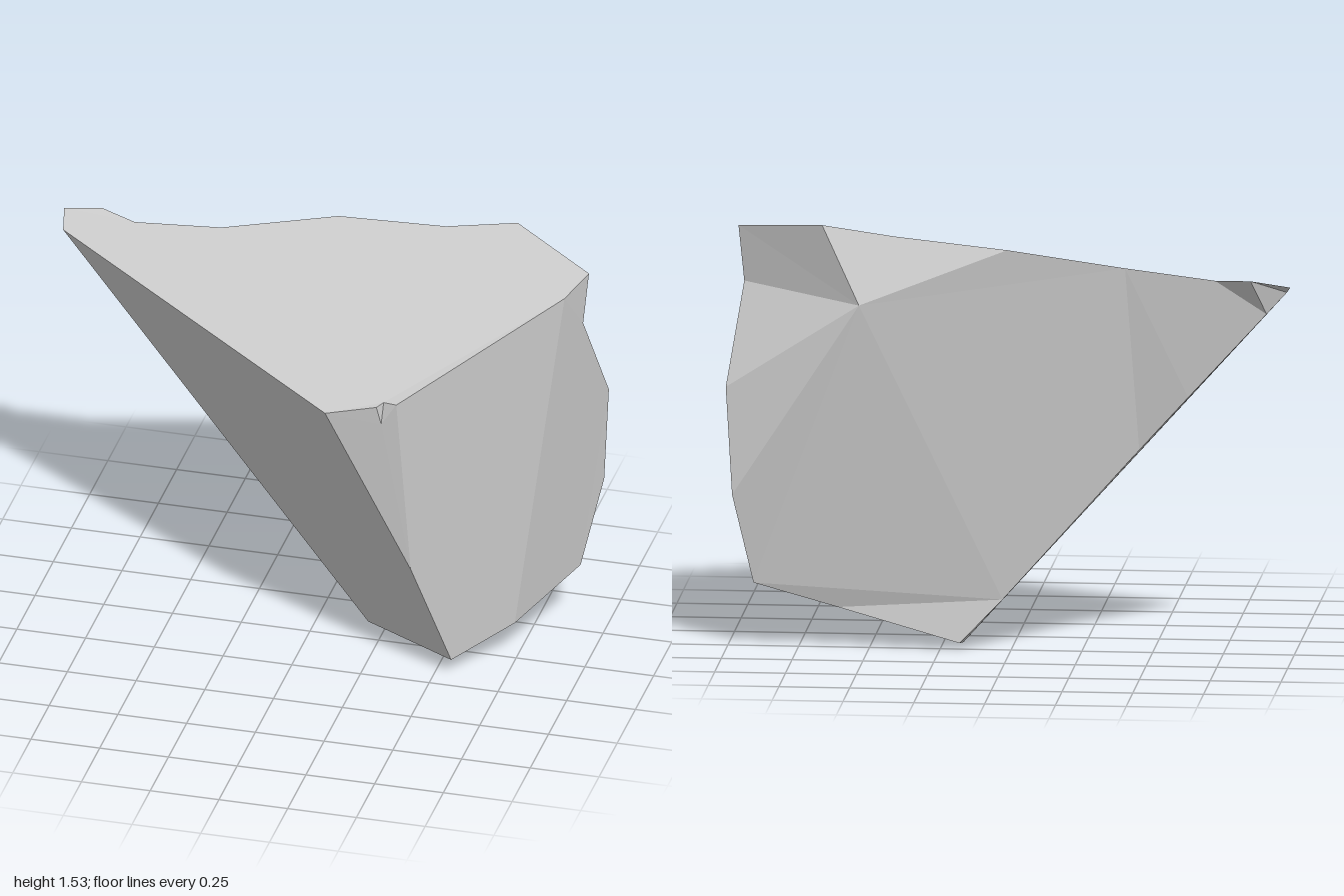
import * as THREE from 'three';

// Corner points of the broken rock, grouped by region
const P = {
  // top rim, front to back, counter-clockwise
  F: [0.17, 1.14, 0.435], N1: [0.35, 1.176, 0.41], N2: [0.37, 1.185, 0.385], G: [0.42, 1.19, 0.4],
  R1: [0.91, 1.44, -0.06], R: [0.97, 1.49, -0.17], T: [0.655, 1.535, -0.38], U: [0.4, 1.495, -0.36],
  M: [0, 1.46, -0.395], V: [-0.41, 1.39, -0.33], W: [-0.73, 1.355, -0.35], X: [-0.86, 1.365, -0.4],
  A: [-1, 1.345, -0.4], A2: [-0.98, 1.31, -0.31],
  // front ridge and chip
  H: [0.45, 0.485, 0.315], N3: [0.365, 1.105, 0.4],
  // underside
  B: [0.18, 0, -0.12], C: [0.56, 0.06, 0.175], D: [0.745, 0.14, 0],
  S4: [0.905, 0.235, -0.3], E: [0.61, 0.145, -0.26], B2: [0.18, 0.025, -0.27],
  // left rear rim and back hub
  S1: [0.95, 1.29, -0.165], S2: [1, 0.94, -0.33], S3: [0.975, 0.56, -0.36], K: [0.52, 1.26, -0.435],
  // slanted rear rim
  Q4: [-0.91, 1.235, -0.33], Q3: [-0.63, 0.925, -0.3], Q1: [-0.453, 0.725, -0.253],
  Q2: [-0.224, 0.47, -0.253], P: [0.03, 0.18, -0.25],
};

// Facets, each counter-clockwise from outside
const facets = {
  topFace: ['F N1 N2 G R1 R T U M V W X A A2'],
  slantedFace: ['A2 B C H F', 'A2 Q4 Q3 Q1 Q2 P B2 B'],
  frontFace: ['F H G N3 N1', 'G H C D R1'],
  chip: ['N1 N3 N2', 'N2 N3 G'],
  sideFace: ['R1 D S4 S3 S2 S1 R'],
  backFace: ['R S1 K T', 'S1 S2 K', 'S2 S3 K', 'K S3 S4 E P Q2', 'E B2 P', 'K Q2 Q1 V M',
    'K M U', 'K U T', 'V Q1 Q3 W', 'W Q3 Q4 X', 'X Q4 A2 A'],
  underside: ['C B B2 E S4 D'],
};

// Triangulate one polygon in the plane of its average normal
function triangulate(names) {
  const pts = names.split(' ').map((n) => new THREE.Vector3(...P[n]));
  const normal = new THREE.Vector3();
  pts.forEach((p, i) => normal.add(p.clone().cross(pts[(i + 1) % pts.length])));
  normal.normalize();
  const u = pts[1].clone().sub(pts[0]);
  u.addScaledVector(normal, -u.dot(normal)).normalize();
  const v = normal.clone().cross(u);
  const flat = pts.map((p) => new THREE.Vector2(p.dot(u), p.dot(v)));
  return THREE.ShapeUtils.triangulateShape(flat, []).flat().map((i) => pts[i]);
}

export function createModel() {
  const rock = new THREE.Group();
  rock.name = 'rockShard';
  const material = new THREE.MeshStandardMaterial({ color: 0xcccccc, flatShading: true });
  for (const [name, polygons] of Object.entries(facets)) {
    const geometry = new THREE.BufferGeometry().setFromPoints(polygons.flatMap(triangulate));
    geometry.computeVertexNormals();
    const mesh = new THREE.Mesh(geometry, material);
    mesh.name = name;
    rock.add(mesh);
  }
  return rock;
}
